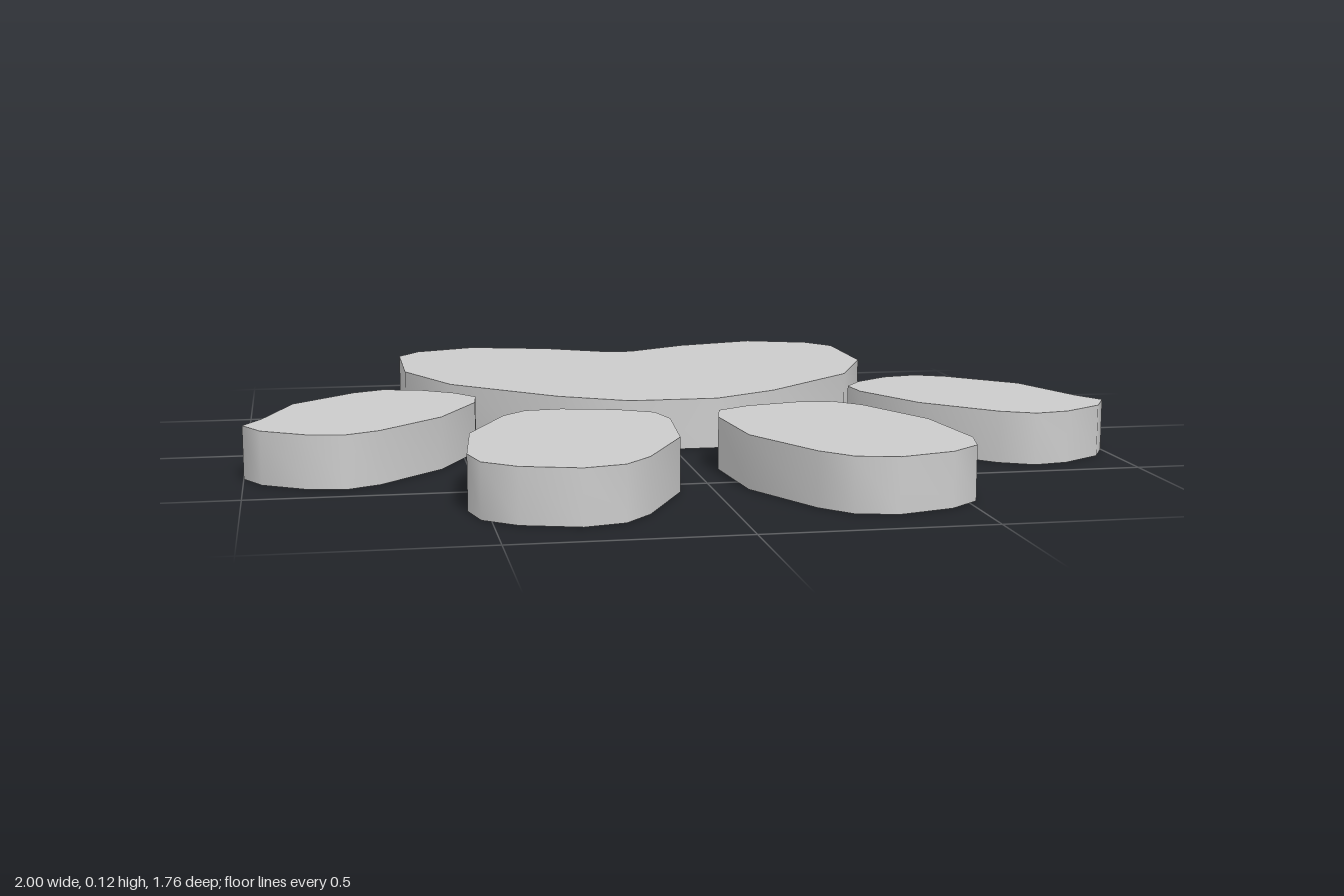
import * as THREE from 'three';
import { toCreasedNormals } from 'three/addons/utils/BufferGeometryUtils.js';

const HEIGHT = 0.12;
const material = new THREE.MeshStandardMaterial({ color: 0xcccccc });

// Outlines as [x, z] seen from above; the left (+x) side is drawn, the right is mirrored.
const padHalf = [
  [0.035, -0.735], [0.19, -0.825], [0.395, -0.885], [0.55, -0.825], [0.605, -0.745],
  [0.605, -0.46], [0.505, -0.23], [0.265, 0], [0.105, 0.095],
];
const outerToe = [
  [0.675, -0.175], [0.745, -0.14], [0.89, 0], [0.96, 0.2], [1, 0.275], [0.96, 0.35], [0.86, 0.415],
  [0.78, 0.43], [0.705, 0.39], [0.56, 0.24], [0.468, 0.053], [0.46, -0.03], [0.505, -0.095], [0.59, -0.157],
];
const innerToe = [
  [0.28, 0.178], [0.365, 0.187], [0.42, 0.245], [0.515, 0.455], [0.54, 0.69], [0.52, 0.78], [0.45, 0.84],
  [0.325, 0.878], [0.235, 0.855], [0.175, 0.785], [0.075, 0.58], [0.055, 0.35], [0.075, 0.26], [0.155, 0.21],
];

const mirror = (points) => points.map(([x, z]) => [-x, z]).reverse();

// Flat slab with softly shaded walls and crisp top and bottom edges
function slab(name, points) {
  const shape = new THREE.Shape(points.map(([x, z]) => new THREE.Vector2(x, -z)));
  const geometry = new THREE.ExtrudeGeometry(shape, { depth: HEIGHT, bevelEnabled: false });
  geometry.rotateX(-Math.PI / 2);
  const mesh = new THREE.Mesh(toCreasedNormals(geometry, 1.2), material);
  mesh.name = name;
  return mesh;
}

export function createModel() {
  const model = new THREE.Group();
  model.name = 'pawPrint';

  // Heart-shaped main pad
  model.add(slab('mainPad', [[0, -0.73], ...padHalf, ...mirror(padHalf)]));

  // Two toes on each side
  for (const [name, outline] of [['OuterToe', outerToe], ['InnerToe', innerToe]]) {
    model.add(slab('left' + name, outline), slab('right' + name, mirror(outline)));
  }
  return model;
}
